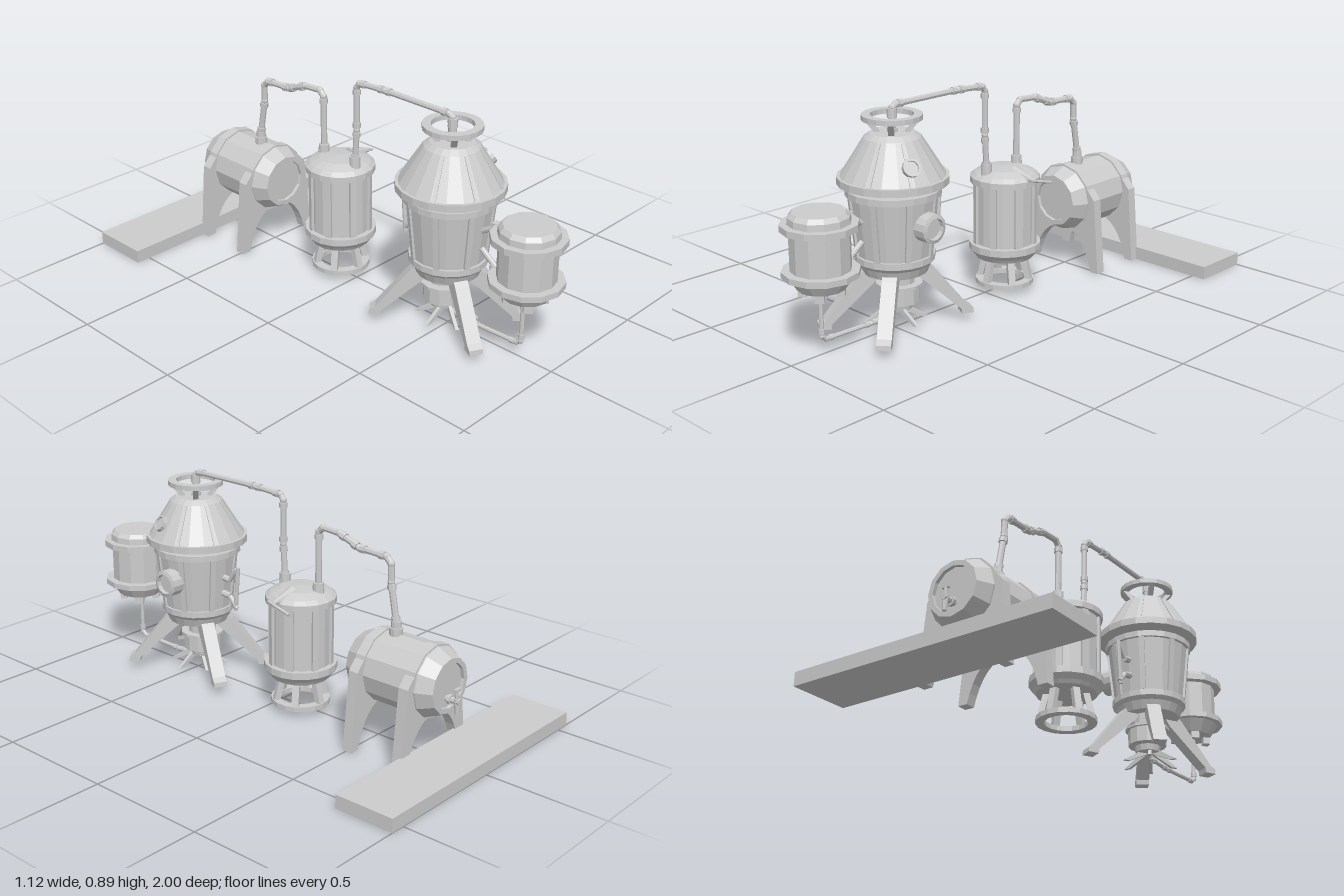
import * as THREE from 'three';

const mat = new THREE.MeshStandardMaterial({ color: 0xcccccc, flatShading: true, side: THREE.DoubleSide });
const V = (x, y, z) => new THREE.Vector3(x, y, z);

function add(parent, name, geo, x = 0, y = 0, z = 0) {
  const m = new THREE.Mesh(geo, mat);
  m.name = name;
  m.position.set(x, y, z);
  parent.add(m);
  return m;
}
function group(parent, name, x = 0, y = 0, z = 0) {
  const g = new THREE.Group();
  g.name = name;
  g.position.set(x, y, z);
  parent.add(g);
  return g;
}
// Turned part from [radius, height] pairs, bottom to top
const turned = (pts, sides) => new THREE.LatheGeometry(pts.map(p => new THREE.Vector2(...p)), sides);
const ring = (r0, r1, y0, y1, sides) => turned([[r0, y0], [r1, y0], [r1, y1], [r0, y1], [r0, y0]], sides);
const shapeOf = pts => new THREE.Shape(pts.map(p => new THREE.Vector2(...p)));
// Flat profile extruded symmetrically about z = 0
function plate(shape, depth) {
  return new THREE.ExtrudeGeometry(shape, { depth, bevelEnabled: false, curveSegments: 8 }).translate(0, 0, -depth / 2);
}
// Round rod between two points
function rod(parent, name, a, b, r0, r1 = r0, sides = 8) {
  const d = b.clone().sub(a);
  const m = add(parent, name, new THREE.CylinderGeometry(r1, r0, d.length(), sides));
  m.position.copy(a).addScaledVector(d, 0.5);
  m.quaternion.setFromUnitVectors(V(0, 1, 0), d.normalize());
  return m;
}
// Straight pipe runs with a ball at each bend and collars beside them
function pipe(parent, name, pts, r) {
  const g = group(parent, name);
  const p = pts.map(([z, y]) => V(0, y, z));
  for (let i = 0; i < p.length - 1; i++) {
    rod(g, 'pipeRun', p[i], p[i + 1], r);
    if (i) add(g, 'pipeBend', new THREE.SphereGeometry(r * 1.15, 8, 6), ...p[i]);
    const len = p[i].distanceTo(p[i + 1]);
    if (len > 0.1) for (const t of [0.02 / len, 1 - 0.02 / len]) {
      const a = p[i].clone().lerp(p[i + 1], t - 0.01 / len), b = p[i].clone().lerp(p[i + 1], t + 0.01 / len);
      rod(g, 'pipeCollar', a, b, r * 1.35);
    }
  }
}
// Repeats a part around the y axis
function around(parent, name, angles, build) {
  for (const a of angles) {
    const g = group(parent, name);
    g.rotation.y = -a * Math.PI / 180;
    build(g);
  }
}
const steps = (n, start = 0) => Array.from({ length: n }, (_, i) => start + i * 360 / n);

function buildStill(root) {
  const g = group(root, 'still', 0, 0, 0.49);
  // Pot with rim and lower band
  add(g, 'pot', turned([[0, 0.235], [0.125, 0.235], [0.14, 0.27], [0.155, 0.285], [0.155, 0.31], [0.145, 0.31],
    [0.17, 0.54], [0.183, 0.54], [0.183, 0.565], [0, 0.565]], 20));
  around(g, 'potStave', steps(8, 22.5), s => {
    add(s, 'stave', plate(shapeOf([[0.13, 0.31], [0.154, 0.31], [0.178, 0.54], [0.15, 0.54]]), 0.022));
  });
  // Conical hood, lifted a little above the pot
  add(g, 'hood', turned([[0, 0.585], [0.213, 0.585], [0.213, 0.614], [0.2, 0.614], [0.108, 0.76], [0.085, 0.777], [0, 0.777]], 20));
  around(g, 'hoodRib', steps(8, 22.5), s => {
    add(s, 'rib', plate(shapeOf([[0.17, 0.61], [0.203, 0.614], [0.112, 0.758], [0.09, 0.758]]), 0.012));
  });
  // Crown ring on four struts
  add(g, 'crownRing', ring(0.082, 0.115, 0.825, 0.845, 20));
  around(g, 'crownStrut', steps(4, 45), s => {
    add(s, 'strut', plate(shapeOf([[0.045, 0.775], [0.065, 0.775], [0.108, 0.827], [0.085, 0.827]]), 0.022));
  });
  add(g, 'neck', turned([[0.02, 0.77], [0.02, 0.79], [0.015, 0.79], [0.015, 0.83], [0.019, 0.83], [0.019, 0.865], [0, 0.865]], 10));
  // Round port in the pot wall
  const port = add(g, 'potPort', turned([[0.057, 0], [0.057, 0.055], [0.042, 0.06], [0.042, 0.04], [0, 0.04]], 14), 0.15, 0.44, -0.015);
  port.rotation.z = -Math.PI / 2;
  // Window on the hood, facing out along its slope
  const win = add(g, 'hoodWindow', turned([[0.035, -0.02], [0.035, 0.014], [0.026, 0.014], [0.026, 0.006], [0, 0.006]], 12), 0.153, 0.675, 0.05);
  win.quaternion.setFromUnitVectors(V(0, 1, 0), V(0.81, 0.53, 0.26).normalize());
  // Upright handle at the back
  const h = group(g, 'backHandle');
  rod(h, 'handleBar', V(0, 0.32, -0.222), V(0, 0.51, -0.238), 0.009);
  for (const [y, t] of [[0.38, 0.33], [0.45, 0.5]]) {
    rod(h, 'handleArm', V(0, y, -0.15), V(0, y - 0.005, -0.192), 0.014);
    rod(h, 'handleLink', V(0, y - 0.005, -0.19), V(0, t, -0.23), 0.01);
  }
  // Splayed legs
  around(g, 'stillLeg', [51, 118, 231, 298], s => {
    add(s, 'leg', plate(shapeOf([[0.06, 0.24], [0.085, 0.205], [0.255, 0.05], [0.258, 0.03], [0.305, 0.03], [0.303, 0.05],
      [0.28, 0.065], [0.145, 0.235], [0.13, 0.25]]), 0.056));
  });
  // Burner on a small spider stand
  add(g, 'burner', turned([[0, 0.075], [0.05, 0.075], [0.055, 0.1], [0.08, 0.105], [0.08, 0.17], [0.092, 0.17], [0.092, 0.182],
    [0.06, 0.182], [0.06, 0.24]], 12), 0, 0, -0.02);
  around(g, 'burnerLeg', steps(6), s => {
    add(s, 'foot', plate(shapeOf([[0.01, 0.09], [0.01, 0.075], [0.1, 0.032], [0.125, 0.032], [0.035, 0.09]]), 0.014));
  });
}

function buildFuelTank(root) {
  const g = group(root, 'fuelTank', 0.01, 0, 0.855);
  add(g, 'tankBody', turned([[0, 0.265], [0.09, 0.265], [0.122, 0.315], [0.145, 0.315], [0.145, 0.338], [0.113, 0.338],
    [0.113, 0.49], [0.145, 0.49], [0.145, 0.515], [0.117, 0.515], [0.115, 0.54], [0.1, 0.557], [0, 0.557]], 12));
  around(g, 'tankFoot', steps(4, 45), s => add(s, 'foot', new THREE.BoxGeometry(0.03, 0.035, 0.035), 0.07, 0.253, 0));
  add(g, 'tankValve', turned([[0, 0.21], [0.014, 0.21], [0.014, 0.225], [0.024, 0.225], [0.024, 0.245], [0.014, 0.27]], 8));
  // Arms joining the tank to the pot
  for (const [y0, y1] of [[0.505, 0.46], [0.328, 0.385]]) {
    rod(g, 'tankArm', V(-0.01, y0, -0.13), V(-0.01, y1, -0.205), 0.011);
    add(g, 'armBlock', new THREE.BoxGeometry(0.03, 0.024, 0.03), -0.01, y0, -0.14);
  }
  pipe(root, 'fuelPipe', [[0.855, 0.24], [0.855, 0.07], [0.835, 0.055], [0.62, 0.05], [0.5, 0.058], [0.485, 0.085]], 0.009);
}

function buildCondenser(root) {
  const g = group(root, 'condenser', 0.012, 0, -0.105);
  add(g, 'condenserBody', turned([[0, 0.145], [0.12, 0.145], [0.13, 0.16], [0.148, 0.18], [0.148, 0.208], [0.125, 0.208],
    [0.125, 0.462], [0.143, 0.462], [0.143, 0.487], [0.125, 0.502], [0.085, 0.52], [0, 0.527]], 18));
  around(g, 'condenserStave', steps(8, 22.5), s => add(s, 'stave', new THREE.BoxGeometry(0.02, 0.256, 0.026), 0.124, 0.335, 0));
  // Ring foot with slanted legs
  add(g, 'footRing', ring(0.085, 0.12, 0.028, 0.048, 18));
  around(g, 'condenserLeg', steps(6, 30), s => {
    add(s, 'leg', plate(shapeOf([[0.09, 0.045], [0.115, 0.045], [0.09, 0.15], [0.065, 0.15]]), 0.028));
  });
  // Pipe sockets
  for (const z of [0.095, -0.08]) add(g, 'pipeSocket', new THREE.CylinderGeometry(0.022, 0.024, 0.06, 10), -0.012, 0.522, z);
  // Valve with lever
  rod(g, 'valveBody', V(0.05, 0.505, 0), V(0.165, 0.492, 0), 0.03, 0.008);
  rod(g, 'valveLever', V(0.168, 0.498, 0.02), V(0.172, 0.47, -0.09), 0.006);
}

function buildBarrel(root) {
  const g = group(root, 'barrel', 0, 0.302, -0.42);
  const body = add(g, 'barrelBody', turned([[0, 0.015], [0.09, 0.015], [0.09, 0], [0.11, 0], [0.14, 0.06], [0.14, 0.345],
    [0.11, 0.405], [0.09, 0.405], [0.09, 0.39], [0, 0.39]], 12));
  body.rotation.x = -Math.PI / 2;
  add(g, 'bung', turned([[0.026, 0.13], [0.026, 0.165], [0.02, 0.165], [0.02, 0.19], [0, 0.19]], 10), 0, 0, -0.15);
  // Two cradles, each a hoop with splayed legs
  for (const z of [-0.505, -0.738]) {
    const c = group(root, 'cradle', 0, 0, z);
    const hoop = add(c, 'hoop', ring(0.135, 0.147, -0.021, 0.021, 12), 0, 0.302, 0);
    hoop.rotation.x = Math.PI / 2;
    const s = shapeOf([[-0.16, 0], [-0.2, 0], [-0.17, 0.32], [-0.135, 0.36], [0.135, 0.36], [0.17, 0.32], [0.2, 0], [0.16, 0]]);
    s.quadraticCurveTo(0.12, 0.17, 0, 0.175);
    s.quadraticCurveTo(-0.12, 0.17, -0.16, 0);
    add(c, 'cradleLegs', plate(s, 0.042));
  }
  // Tap
  const t = group(root, 'tap', 0, 0.25, -0.81);
  rod(t, 'tapStem', V(0, 0, 0.02), V(0, 0, -0.06), 0.012);
  rod(t, 'tapSpout', V(0, 0.01, -0.047), V(0, -0.05, -0.05), 0.013, 0.008);
  rod(t, 'tapKey', V(0, 0, -0.047), V(0, 0.045, -0.047), 0.007);
  add(t, 'tapHandle', new THREE.BoxGeometry(0.03, 0.012, 0.012), 0, 0.045, -0.047);
  rod(t, 'tapCollar', V(0, 0, -0.012), V(0, 0, -0.024), 0.02);
}

export function createModel() {
  const root = new THREE.Group();
  root.name = 'distillery';
  buildStill(root);
  buildFuelTank(root);
  buildCondenser(root);
  buildBarrel(root);
  // Pipes from still to condenser and from condenser to barrel
  pipe(root, 'vapourPipe', [[0.49, 0.84], [0.488, 0.868], [0.47, 0.878], [0.15, 0.878], [0.015, 0.87], [0, 0.85], [0, 0.67], [-0.01, 0.53]], 0.012);
  pipe(root, 'outletPipe', [[-0.185, 0.52], [-0.185, 0.76], [-0.205, 0.78], [-0.29, 0.775], [-0.385, 0.738], [-0.515, 0.733],
    [-0.538, 0.71], [-0.54, 0.64], [-0.57, 0.48]], 0.013);
  // Plank on the ground behind the barrel
  add(root, 'plank', new THREE.BoxGeometry(1.12, 0.055, 0.25), 0, 0.0275, -0.875);
  return root;
}
